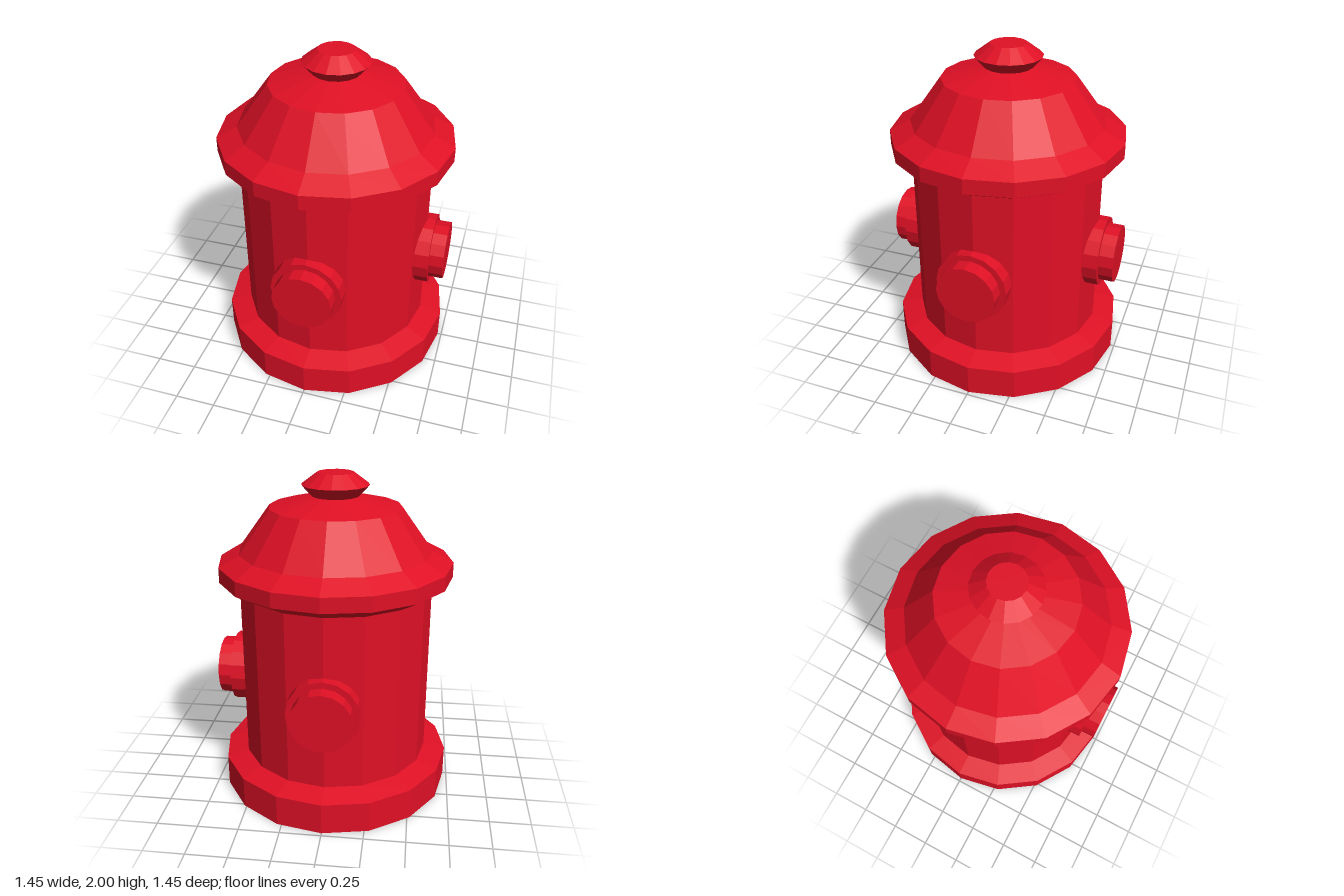
import * as THREE from 'three';

const SIDES = 16;

export function createModel() {
  const red = new THREE.MeshStandardMaterial({ color: 0xe01025, flatShading: true });
  red.name = 'hydrant red';
  const model = new THREE.Group();
  model.name = 'fireHydrant';

  // Turned part from [radius, height] points, bottom to top
  const turned = (name, profile) => {
    const points = profile.map(([r, y]) => new THREE.Vector2(r, y));
    const mesh = new THREE.Mesh(new THREE.LatheGeometry(points, SIDES), red);
    mesh.name = name;
    return mesh;
  };

  model.add(
    turned('base', [[0, 0], [0.727, 0], [0.727, 0.197], [0.59, 0.23]]),
    turned('barrel', [[0.59, 0.23], [0.59, 1.318]]),
    turned('flange', [[0.59, 1.318], [0.711, 1.387], [0.711, 1.477], [0.587, 1.543]]),
    turned('dome', [[0.587, 1.543], [0.398, 1.802], [0.143, 1.865]]),
    turned('topNut', [[0.143, 1.865], [0.202, 1.93], [0.108, 2], [0, 2]]),
  );

  // Stepped outlets on the front, left and back
  const outlets = { frontOutlet: 0, leftOutlet: Math.PI / 2, backOutlet: Math.PI };
  for (const [name, angle] of Object.entries(outlets)) {
    const outlet = new THREE.Group();
    outlet.name = name;
    const body = turned('outletCap', [
      [0.218, 0.45], [0.218, 0.64], [0.181, 0.64], [0.181, 0.727], [0, 0.727],
    ]);
    body.rotation.x = Math.PI / 2;
    outlet.add(body);
    outlet.position.y = 0.737;
    outlet.rotation.y = angle;
    model.add(outlet);
  }
  return model;
}
